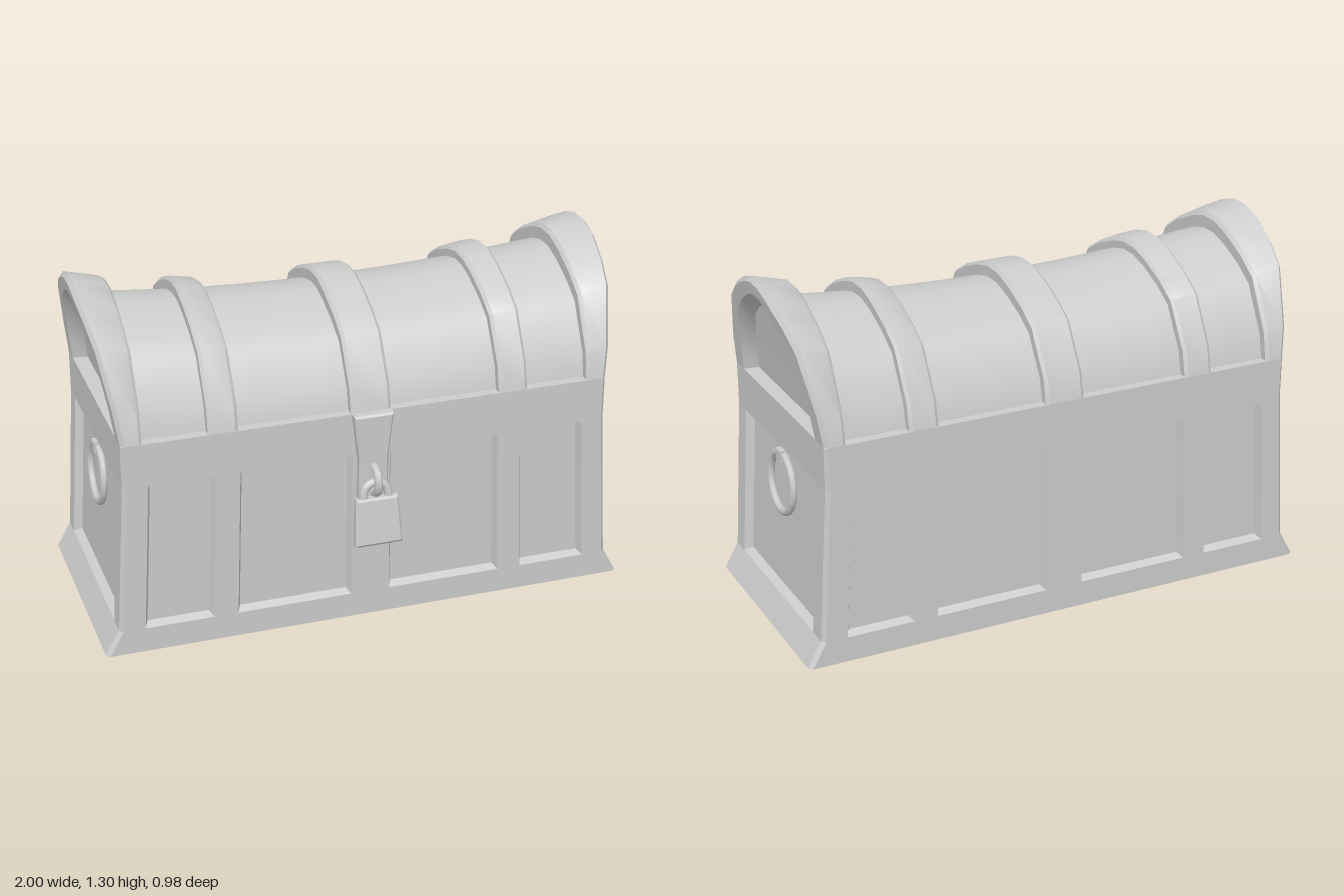
import * as THREE from 'three';
import { toCreasedNormals } from 'three/addons/utils/BufferGeometryUtils.js';

const material = new THREE.MeshStandardMaterial({ color: 0xcccccc });
const SPRING = 0.83; // height where the arched lid starts
const HALF_DEPTH = 0.44;

// Half-width of the chest at height y: flared foot, waist, flared lid
const WIDTHS = [[0, 1], [0.095, 0.947], [0.4, 0.926], [0.665, 0.912], [0.83, 0.912], [1, 0.935], [1.15, 0.96], [1.27, 0.985], [1.4, 0.985]];
function halfWidth(y) {
  let i = 1;
  while (i < WIDTHS.length - 1 && y > WIDTHS[i][0]) i++;
  const [y0, w0] = WIDTHS[i - 1], [y1, w1] = WIDTHS[i];
  return w0 + (w1 - w0) * (y - y0) / (y1 - y0);
}

// Lid arch as (z, y), back to front over the top
const HALF_ARCH = [[0.44, 0.83], [0.42, 0.945], [0.323, 1.15], [0.236, 1.216], [0.125, 1.273], [0.04, 1.3]];
const ARCH = [...HALF_ARCH.map(([z, y]) => [-z, y]), ...HALF_ARCH.slice().reverse()];

function mesh(geometry, name) {
  const m = new THREE.Mesh(geometry, material);
  m.name = name;
  return m;
}

function quadGeometry(quads, crease) {
  const positions = [];
  for (const [a, b, c, d] of quads) positions.push(...a, ...b, ...c, ...a, ...c, ...d);
  const g = new THREE.BufferGeometry();
  g.setAttribute('position', new THREE.Float32BufferAttribute(positions, 3));
  g.computeVertexNormals();
  return crease ? toCreasedNormals(g, crease) : g;
}

function loft(rings) {
  const quads = [];
  for (let i = 0; i < rings.length - 1; i++)
    for (let j = 0; j < rings[i].length - 1; j++)
      quads.push([rings[i][j], rings[i][j + 1], rings[i + 1][j + 1], rings[i + 1][j]]);
  return quadGeometry(quads, 0.6);
}

// One arch section; x is a number or a function of height
function archRing(x, depthScale, top) {
  return ARCH.map(([z, y]) => {
    const h = SPRING + (y - SPRING) * (top - SPRING) / (1.3 - SPRING);
    return [typeof x === 'function' ? x(h) : x, h, z * depthScale];
  });
}

function lidBand(x0, x1, top0, top1) {
  const b = 0.012;
  return loft([
    archRing(x0, 0.88, top0 - 0.07), archRing(x0, 0.98, top0 - b), archRing(x0 + b, 1, top0),
    archRing(x1 - b, 1, top1), archRing(x1, 0.98, top1 - b), archRing(x1, 0.88, top1 - 0.07)
  ]);
}

// Wall as a grid of cells; the chosen columns of the middle row are sunk panels
function panelWall(columns, panels, point) {
  const rows = [0, 0.095, 0.665, SPRING], quads = [];
  for (let r = 0; r < 3; r++) {
    for (let c = 0; c < columns.length - 1; c++) {
      const u0 = columns[c], u1 = columns[c + 1], v0 = rows[r], v1 = rows[r + 1];
      const rect = (inset, depth) => [
        point(u0 + inset, v0 + inset, depth), point(u1 - inset, v0 + inset, depth),
        point(u1 - inset, v1 - inset, depth), point(u0 + inset, v1 - inset, depth)];
      const outer = rect(0, 0);
      if (r === 1 && panels.includes(c)) {
        const inner = rect(0.014, 0.03);
        for (let k = 0; k < 4; k++) {
          const n = (k + 1) % 4;
          quads.push([outer[k], outer[n], inner[n], inner[k]]);
        }
        quads.push(inner);
      } else quads.push(outer);
    }
  }
  return quadGeometry(quads);
}

function bevelledPlate(points, depth, bevel) {
  const shape = new THREE.Shape(points.map(([x, y]) => new THREE.Vector2(x, y)));
  return new THREE.ExtrudeGeometry(shape, {
    depth: depth - 2 * bevel, bevelThickness: bevel, bevelSize: bevel, bevelOffset: -bevel, bevelSegments: 1
  }).translate(0, 0, bevel);
}

function padlock() {
  const g = new THREE.Group();
  g.name = 'padlock';
  g.add(mesh(bevelledPlate([[-0.09, -0.18], [0.09, -0.18], [0.08, 0], [-0.08, 0]], 0.042, 0.008).translate(0, 0, -0.021), 'padlockBody'));
  const path = new THREE.CatmullRomCurve3([[-0.046, -0.02], [-0.046, 0.015], [-0.033, 0.043], [0, 0.055], [0.033, 0.043], [0.046, 0.015], [0.046, -0.02]]
    .map(([x, y]) => new THREE.Vector3(x, y, 0)));
  g.add(mesh(new THREE.TubeGeometry(path, 16, 0.016, 8), 'shackle'));
  g.position.set(0, 0.517, 0.495);
  g.rotation.x = -0.15;
  return g;
}

function sideHandle() {
  const g = new THREE.Group();
  g.name = 'sideHandle';
  const ring = mesh(new THREE.TorusGeometry(0.111, 0.014, 8, 20).rotateY(Math.PI / 2).translate(0, -0.111, 0), 'handleRing');
  ring.position.set(0.905, 0.633, 0);
  ring.rotation.z = 0.05;
  const bracket = mesh(new THREE.BoxGeometry(0.05, 0.045, 0.042), 'handleBracket');
  bracket.position.set(0.898, 0.628, 0);
  g.add(ring, bracket);
  return g;
}

export function createModel() {
  const root = new THREE.Group();
  root.name = 'treasureChest';
  const chest = new THREE.Group();
  chest.name = 'chest';
  chest.position.z = -0.05;
  root.add(chest);

  // Bottom, and the ledge under the lid
  const w = halfWidth(SPRING), d = HALF_DEPTH;
  chest.add(mesh(quadGeometry([
    [[-1, 0, -d + 0.015], [1, 0, -d + 0.015], [1, 0, d - 0.015], [-1, 0, d - 0.015]],
    [[-0.985, 0, -d], [0.985, 0, -d], [1, 0, -d + 0.015], [-1, 0, -d + 0.015]],
    [[-1, 0, d - 0.015], [1, 0, d - 0.015], [0.985, 0, d], [-0.985, 0, d]]
  ]), 'bottom'));
  chest.add(mesh(quadGeometry([[[-w, SPRING, d], [w, SPRING, d], [w, SPRING, -d], [-w, SPRING, -d]]]), 'lidLedge'));

  // Curved lid skin sagging towards the middle
  const skin = [];
  for (let i = 0; i <= 12; i++) {
    const x = -0.85 + 1.7 * i / 12;
    skin.push(archRing(x, 0.915, 1.155 + 0.075 * x * x));
  }
  chest.add(mesh(loft(skin), 'lidSkin'));
  chest.add(mesh(lidBand(-0.075, 0.075, 1.207, 1.207), 'middleBand'));

  const longColumns = [-1, -0.985, -0.9, -0.63, -0.535, -0.077, 0.077, 0.535, 0.63, 0.9, 0.985, 1];
  const longWall = panelWall(longColumns, [2, 4, 6, 8], (u, v, depth) =>
    [u * halfWidth(v), v, d - depth - (Math.abs(u) > 0.99 ? 0.015 : 0)]);
  const endWall = panelWall([-0.425, -0.35, 0.35, 0.425], [1], (u, v, depth) => [halfWidth(v) - depth, v, -u]);
  const band = lidBand(0.49, 0.6, 1.213, 1.23);

  // Flared end arch with its sunken gable
  const edge = (inset) => (y) => halfWidth(y) - inset;
  const endArch = loft([
    archRing(0.835, 0.88, 1.18), archRing(0.835, 0.98, 1.253), archRing(0.847, 1, 1.267),
    archRing(edge(0.015), 1, 1.3), archRing(edge(0), 0.966, 1.283), archRing(edge(0), 0.795, 1.238),
    archRing(edge(0.055), 0.77, 1.19), archRing(edge(0.055), 0, 1.19)
  ]);

  // Each half is the other turned half way round
  for (const turn of [0, Math.PI]) {
    const half = new THREE.Group();
    half.name = turn ? 'rightAndBack' : 'leftAndFront';
    half.rotation.y = turn;
    half.add(mesh(longWall, 'longWall'), mesh(endWall, 'endWall'), mesh(band, 'lidBand'), mesh(endArch, 'endArch'), sideHandle());
    chest.add(half);
  }

  // Hasp, staple and padlock
  const hasp = mesh(bevelledPlate([[-0.055, 0.342], [0.055, 0.342], [0.055, 0.66], [0.075, 0.832], [-0.075, 0.832], [-0.055, 0.66]], 0.045, 0.008), 'hasp');
  hasp.position.z = 0.43;
  const staple = mesh(new THREE.TorusGeometry(0.05, 0.016, 8, 16).rotateY(Math.PI / 2), 'staple');
  staple.position.set(0, 0.578, 0.475);
  chest.add(hasp, staple, padlock());
  return root;
}
